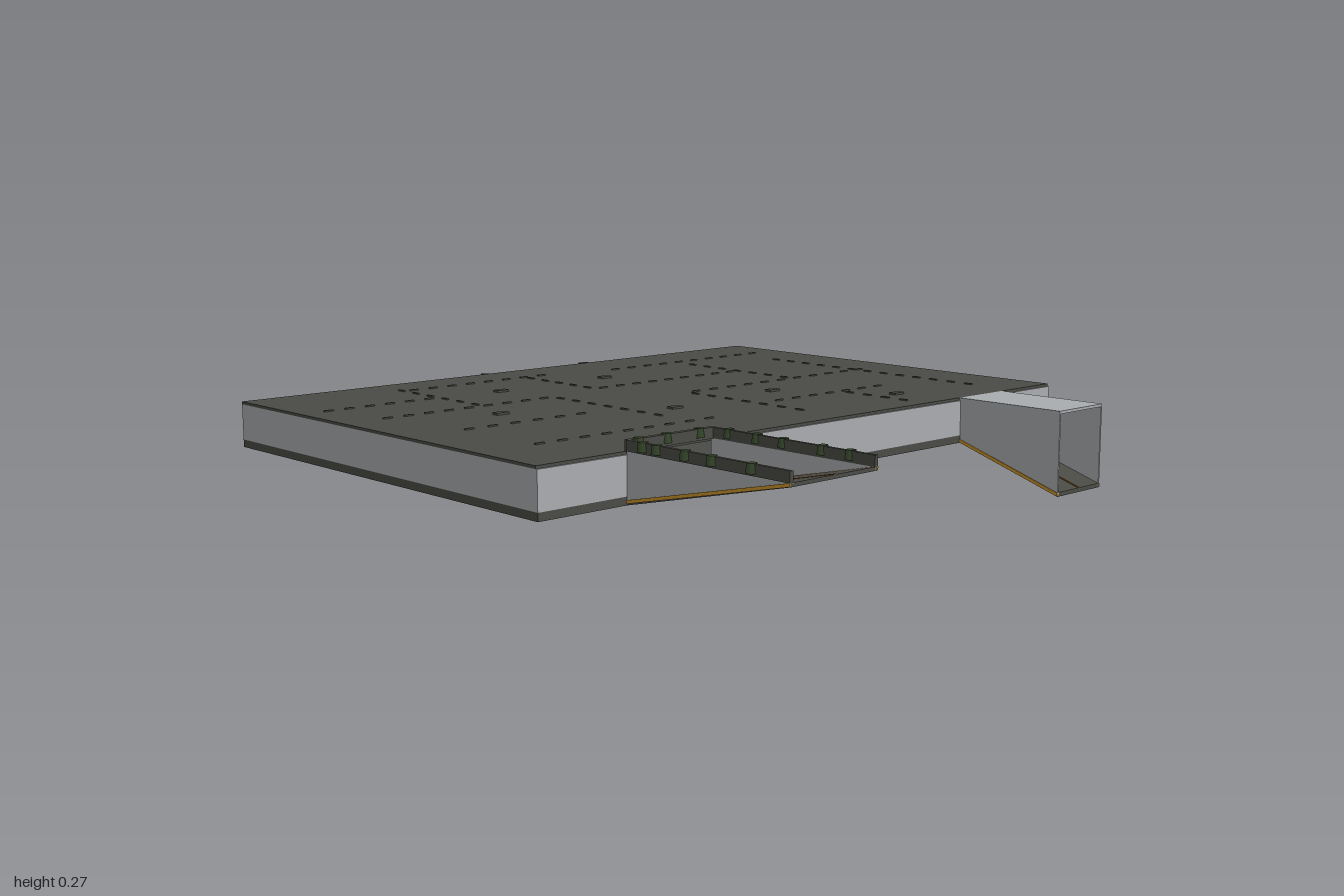
import * as THREE from 'three';

export function createModel() {
  const model = new THREE.Group();
  model.name = 'undergroundBunker';
  const mat = (name, color) => {
    const m = new THREE.MeshStandardMaterial({ color });
    m.name = name;
    return m;
  };
  const concrete = mat('concrete grey', 0xa9acaf);
  const slab = mat('dark slab', 0x4a4a45);
  const trim = mat('dark trim', 0x30302d);
  const yellow = mat('hazard yellow', 0xc8922c);
  const brown = mat('centre line brown', 0x76501a);
  const red = mat('red stripe', 0x8c1524);
  const green = mat('moss green', 0x35462a);

  const add = (parent, name, geo, material) => {
    const mesh = new THREE.Mesh(geo, material);
    mesh.name = name;
    parent.add(mesh);
    return mesh;
  };
  const group = (name) => {
    const g = new THREE.Group();
    g.name = name;
    model.add(g);
    return g;
  };
  // box given by its lower and upper limits
  const box = (parent, name, material, x0, x1, y0, y1, z0, z1) => {
    const geo = new THREE.BoxGeometry(x1 - x0, y1 - y0, z1 - z0);
    geo.translate((x0 + x1) / 2, (y0 + y1) / 2, (z0 + z1) / 2);
    return add(parent, name, geo, material);
  };
  // side profile of [z, y] points pulled along x
  const prism = (parent, name, material, points, x0, x1) => {
    const shape = new THREE.Shape(points.map(([z, y]) => new THREE.Vector2(z, y)));
    const geo = new THREE.ExtrudeGeometry(shape, { depth: x1 - x0, bevelEnabled: false });
    geo.rotateY(-Math.PI / 2);
    geo.translate(x1, 0, 0);
    return add(parent, name, geo, material);
  };
  // sloped strip of constant thickness
  const slope = (parent, name, material, [za, ya], [zb, yb], t, x0, x1) =>
    prism(parent, name, material, [[za, ya], [zb, yb], [zb, yb + t], [za, ya + t]], x0, x1);

  const X0 = -1, X1 = 0.99, Z0 = -0.955, Z1 = 0.43;
  const F = 0.11, W = 0.132, R = 0.235, T = 0.243;

  // floor and roof slabs
  box(model, 'floorSlab', slab, X0, X1, F, W, Z0, Z1);
  box(model, 'roofSlab', slab, X0, X1, R, T, Z0, Z1 - 0.005);

  // outer walls, open at the two entrances and the back corner
  const walls = group('outerWalls');
  const t = 0.008;
  for (const [a, b] of [[X0, -0.725], [-0.44, 0.56], [0.76, X1]])
    box(walls, 'frontWall', concrete, a, b, W, R, Z1 - t, Z1);
  box(walls, 'rightWall', concrete, X0, X0 + t, W, R, Z0, Z1);
  box(walls, 'leftWall', concrete, X1 - t, X1, W, R, -0.68, Z1);
  box(walls, 'backWall', concrete, X0, 0.67, W, R, Z0, Z0 + t);

  // recessed corner
  const corner = group('cornerRecess');
  box(corner, 'recessSideWall', concrete, 0.66, 0.67, W, R, Z0, -0.68);
  box(corner, 'recessBackWall', concrete, 0.66, X1, W, R, -0.685, -0.675);
  box(corner, 'redBeam', red, 0.855, 0.863, 0.212, 0.224, Z0, -0.685);
  box(corner, 'recessDoor', concrete, 0.67, 0.72, W, 0.205, -0.75, -0.69);
  for (let i = 0; i < 3; i++)
    for (let j = 0; j < 2; j++)
      box(corner, 'doorMark', trim, 0.72, 0.724, 0.155 + i * 0.018, 0.161 + i * 0.018,
        -0.735 + j * 0.025, -0.725 + j * 0.025);

  // inner wall behind the covered entrance
  const inner = group('innerWall');
  box(inner, 'innerPanel', concrete, -0.8, 0.85, W, R, -0.21, -0.2);
  box(inner, 'innerRedStripe', red, 0.5, 0.85, 0.21, 0.224, -0.2, -0.195);
  box(inner, 'innerShelf', slab, 0.575, 0.76, 0.18, 0.205, -0.2, -0.17);
  box(inner, 'innerDoor', trim, 0.665, 0.73, 0.135, 0.178, -0.2, -0.195);

  // covered entrance, going down to the front
  const tunnel = group('coveredEntrance');
  const tx0 = 0.557, tx1 = 0.76, tEnd = 0.78;
  slope(tunnel, 'tunnelRamp', slab, [Z1, F], [tEnd, 0], 0.012, tx0, tx1);
  box(tunnel, 'tunnelRoof', concrete, tx0, tx1, T - 0.008, T, Z1 - 0.005, tEnd);
  for (const x of [tx0, tx1 - 0.005]) {
    prism(tunnel, 'tunnelWall', concrete,
      [[Z1, F + 0.008], [tEnd, 0.008], [tEnd, T - 0.002], [Z1, T - 0.002]], x, x + 0.005);
    for (const side of [-0.003, 0.005])
      slope(tunnel, 'tunnelEdgeStripe', yellow, [Z1, F + 0.002], [tEnd, 0.002], 0.009, x + side, x + side + 0.003);
  }
  slope(tunnel, 'tunnelCentreLine', brown, [Z1, F + 0.012], [tEnd, 0.012], 0.002, 0.656, 0.662);

  // open ramp, going up to the front
  const ramp = group('openRamp');
  const rx0 = -0.727, rx1 = -0.44, rEnd = 0.982, railTop = 0.272;
  slope(ramp, 'rampFloor', slab, [Z1, F], [rEnd, 0.235], 0.01, rx0, rx1);
  slope(ramp, 'rampCentreLine', brown, [Z1, F + 0.01], [rEnd, 0.245], 0.002, -0.588, -0.58);
  for (const x of [rx0, rx1 - 0.006]) {
    prism(ramp, 'rampWall', concrete, [[Z1, F + 0.01], [rEnd, 0.244], [Z1, 0.245]], x, x + 0.006);
    box(ramp, 'rampRail', slab, x - 0.002, x + 0.008, 0.244, railTop, Z1, rEnd);
    for (const side of [-0.003, 0.006])
      slope(ramp, 'rampEdgeStripe', yellow, [Z1, F + 0.004], [rEnd, 0.236], 0.009, x + side, x + side + 0.003);
  }
  box(ramp, 'rampBackRail', slab, rx0, rx1, T, railTop, Z1 - 0.008, Z1 + 0.008);

  // moss clumps on the rails
  const clumps = [
    ...[0.49, 0.54, 0.64, 0.73, 0.86].map((z) => [-0.726, z]),
    ...[0.49, 0.59, 0.68, 0.81, 0.9].map((z) => [-0.44, z]),
    ...[-0.69, -0.6, -0.49].map((x) => [x, Z1]),
  ];
  for (const [x, z] of clumps) {
    const geo = new THREE.CylinderGeometry(0.013, 0.016, 0.024, 6);
    geo.translate(x, 0.262, z);
    add(ramp, 'mossClump', geo, green);
  }

  // wall tops showing through the roof as dashes: [x0, z0, x1, z1]
  const lines = group('roofDashes');
  const plan = [
    [-0.95, -0.62, -0.55, -0.62], [-0.55, -0.85, -0.55, -0.4], [-0.55, -0.8, 0, -0.8],
    [-0.1, -0.8, -0.1, -0.45], [-0.9, -0.4, -0.3, -0.4], [-0.3, -0.4, -0.3, 0.1],
    [-0.85, -0.1, -0.4, -0.1], [-0.85, 0.2, -0.2, 0.2], [-0.1, -0.45, 0.5, -0.45],
    [0.2, -0.75, 0.9, -0.75], [0.5, -0.7, 0.5, -0.2], [0.05, -0.2, 0.85, -0.2],
    [0.05, -0.2, 0.05, 0.3], [0.1, 0.1, 0.6, 0.1], [0.4, 0.1, 0.4, 0.38],
    [0.8, -0.6, 0.8, 0.3],
  ];
  for (const [x0, z0, x1, z1] of plan) {
    const along = x1 > x0;
    const n = Math.round((x1 - x0 + z1 - z0) / 0.07);
    for (let i = 0; i < n; i++) {
      const k = (i + 0.5) / n;
      const x = x0 + (x1 - x0) * k, z = z0 + (z1 - z0) * k;
      const a = along ? 0.014 : 0.004, b = along ? 0.004 : 0.014;
      box(lines, 'roofDash', slab, x - a, x + a, T, T + 0.004, z - b, z + b);
    }
  }

  // small hatches on the roof and shallow plates under the floor
  for (const [x, z] of [[-0.34, -0.6], [-0.18, 0], [0.08, -0.62], [0.26, -0.05], [0.48, 0.25], [-0.6, -0.25]]) {
    box(model, 'roofHatch', slab, x - 0.02, x + 0.02, T, T + 0.006, z - 0.012, z + 0.012);
    box(model, 'floorPlate', slab, x - 0.05, x + 0.05, F - 0.004, F, z - 0.04, z + 0.04);
  }

  // fittings on the back wall
  box(model, 'backVent', trim, 0.265, 0.297, 0.222, 0.242, -0.98, Z0);
  const fin = new THREE.ExtrudeGeometry(
    new THREE.Shape([[-0.135, 0.955], [-0.105, 0.955], [-0.135, 0.985]].map(([x, y]) => new THREE.Vector2(x, y))),
    { depth: 0.02, bevelEnabled: false });
  fin.rotateX(-Math.PI / 2);
  fin.translate(0, 0.222, 0);
  add(model, 'backFin', fin, trim);

  return model;
}
